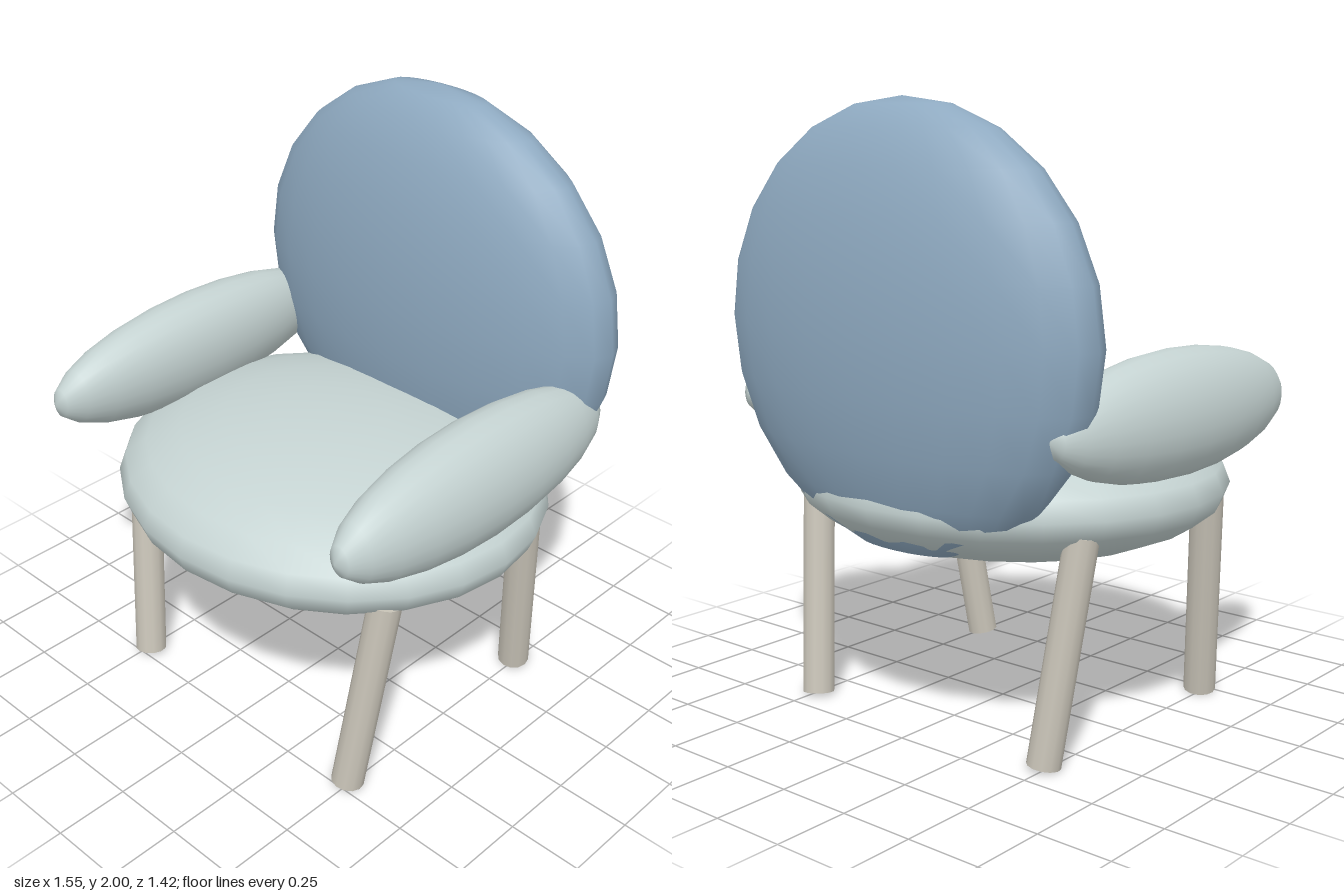
import * as THREE from 'three';

const material = (color) => new THREE.MeshStandardMaterial({ color });

// Plump cushion: an ellipsoid with the given half sizes
function cushion(name, mat, center, radii, poleAlongZ = false) {
  const geometry = new THREE.SphereGeometry(1, 24, 12);
  if (poleAlongZ) geometry.rotateX(Math.PI / 2);
  geometry.scale(...radii);
  const mesh = new THREE.Mesh(geometry, mat);
  mesh.name = name;
  mesh.position.set(...center);
  return mesh;
}

// Round leg between two points
function leg(name, mat, bottom, top, radius) {
  const axis = top.clone().sub(bottom);
  const mesh = new THREE.Mesh(new THREE.CylinderGeometry(radius, radius, axis.length(), 12), mat);
  mesh.name = name;
  mesh.position.copy(bottom).add(top).multiplyScalar(0.5);
  mesh.quaternion.setFromUnitVectors(new THREE.Vector3(0, 1, 0), axis.normalize());
  return mesh;
}

export function createModel() {
  const chair = new THREE.Group();
  chair.name = 'armchair';
  const fabric = material(0xc5d3d2);
  const blue = material(0x8ea9c0);
  const wood = material(0xc9c4b8);

  // Seat and round backrest
  chair.add(cushion('seat', fabric, [0, 0.777, 0.03], [0.75, 0.243, 0.677]));
  chair.add(cushion('backrest', blue, [0, 1.3, -0.465], [0.735, 0.7, 0.245]));

  for (const side of [1, -1]) {
    const label = side > 0 ? 'left' : 'right';

    // Armrest, its top leaning slightly inward
    const arm = cushion(label + 'Armrest', fabric, [side * 0.63, 1.047, 0.06], [0.144, 0.198, 0.61], true);
    arm.rotation.z = side * 0.15;
    chair.add(arm);

    // Front and back legs, splayed along z and tucked in along x
    for (const [place, zBottom, zTop] of [['Front', 0.465, 0.375], ['Back', -0.395, -0.305]]) {
      chair.add(leg(label + place + 'Leg', wood,
        new THREE.Vector3(side * 0.49, 0.01, zBottom),
        new THREE.Vector3(side * 0.56, 0.72, zTop), 0.054));
    }
  }
  return chair;
}
